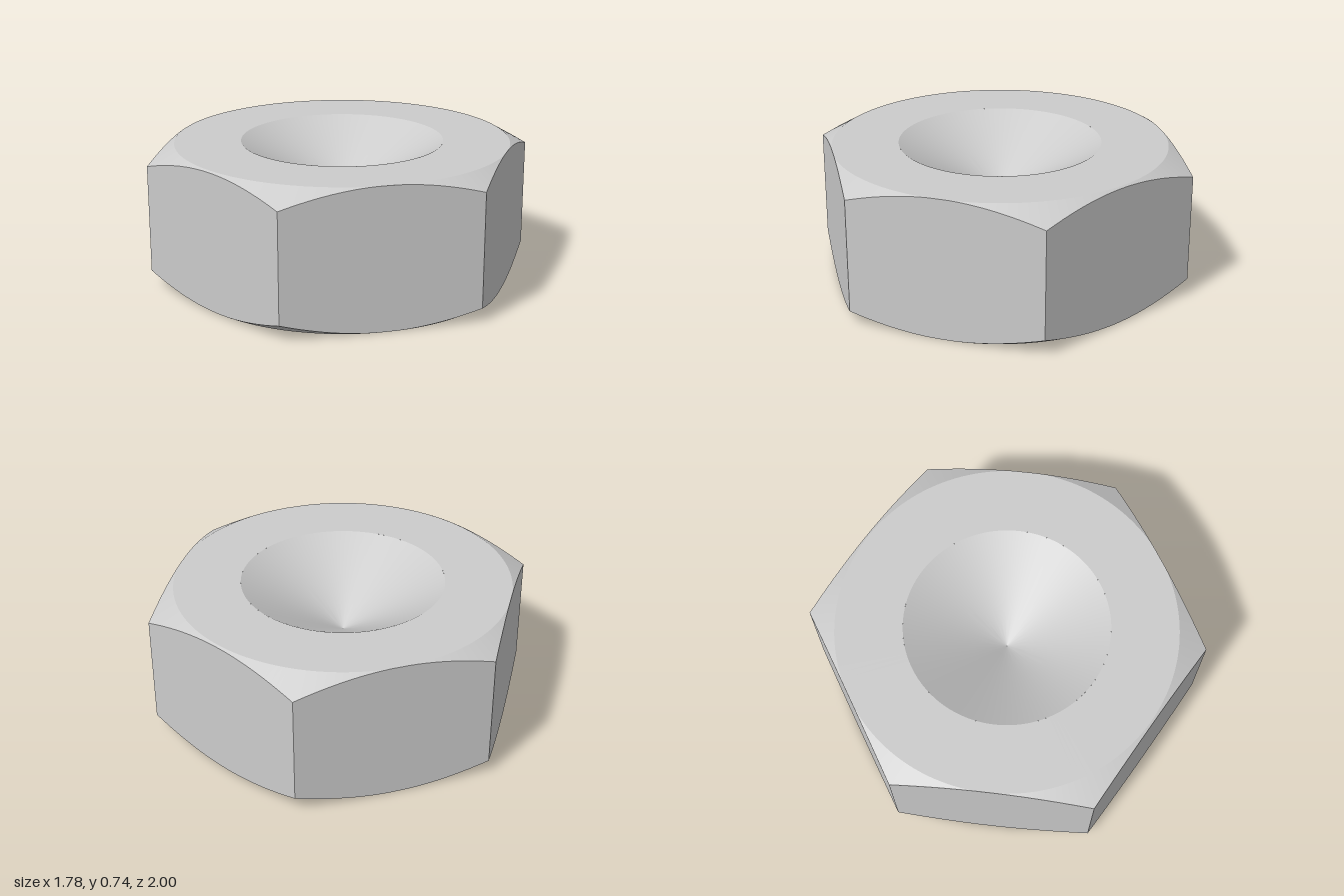
import * as THREE from 'three';
import { toCreasedNormals } from 'three/addons/utils/BufferGeometryUtils.js';

const H = 0.736;          // nut height
const RIM = 0.53;         // countersink rim radius
const FACE = 0.877;       // radius of the flat bearing faces
const SLOPE = 0.577;      // 30 degree chamfers
const MINOR = 0.40, MAJOR = 0.485, PITCH = 0.16;

// Surface swept around y: point(angle, row) gives [radius, height]
function sweep(angles, rows, point) {
  const pos = [], index = [];
  for (const a of angles)
    for (let j = 0; j < rows; j++) {
      const [r, y] = point(a, j);
      pos.push(r * Math.sin(a), y, r * Math.cos(a));
    }
  for (let i = 0; i < angles.length - 1; i++)
    for (let j = 0; j < rows - 1; j++) {
      const a = i * rows + j, b = a + rows;
      const ys = [a, b, a + 1, b + 1].map(k => pos[k * 3 + 1]);
      const rs = [a, a + 1].map(k => Math.hypot(pos[k * 3], pos[k * 3 + 2]));
      // skip collapsed quads
      if (Math.max(...ys) - Math.min(...ys) < 1e-6 && Math.abs(rs[0] - rs[1]) < 1e-6) continue;
      index.push(a, b, b + 1);
      if (rs[1] > 1e-6) index.push(a, b + 1, a + 1);
    }
  const g = new THREE.BufferGeometry();
  g.setAttribute('position', new THREE.Float32BufferAttribute(pos, 3));
  g.setIndex(index);
  return toCreasedNormals(g, 0.4);
}

export function createModel() {
  const group = new THREE.Group();
  const material = new THREE.MeshStandardMaterial({ color: 0xcccccc, side: THREE.DoubleSide });
  const add = (name, geometry) => {
    const mesh = new THREE.Mesh(geometry, material);
    mesh.name = name;
    group.add(mesh);
  };

  // Hexagon outline, sampled along each side so corners stay exact
  const corners = [[0, 1], [0.889, 0.51], [0.889, -0.51], [0, -1], [-0.889, -0.51], [-0.889, 0.51], [0, 1]];
  const angles = [], hex = new Map(), STEPS = 28;
  for (let s = 0; s < 6; s++)
    for (let k = 0; k < STEPS + (s === 5 ? 1 : 0); k++) {
      const t = k / STEPS, [x0, z0] = corners[s], [x1, z1] = corners[s + 1];
      const x = x0 + (x1 - x0) * t, z = z0 + (z1 - z0) * t;
      let a = Math.atan2(x, z);
      if (a < -1e-9 || (s === 5 && k === STEPS)) a += Math.PI * 2;
      angles.push(a);
      hex.set(a, Math.hypot(x, z));
    }

  // Hex body: bottom face, chamfer, flats, chamfer, top face
  add('hexBody', sweep(angles, 6, (a, j) => {
    const r = hex.get(a), flat = Math.min(FACE, r), drop = SLOPE * (r - flat);
    return [[RIM, 0], [flat, 0], [r, drop], [r, H - drop], [flat, H], [RIM, H]][j];
  }));

  const round = Array.from({ length: 129 }, (_, i) => i / 128 * Math.PI * 2);

  // Closed conical countersink in the top face
  add('topCountersink', sweep(round, 9, (a, j) => [RIM * (1 - j / 8), H - SLOPE * RIM * j / 8]));

  // Right-handed thread, running out into the bottom countersink
  const SUB = 16, TURNS = 6, rows = SUB * TURNS + 1;
  const threadRadius = s => {
    const depth = MAJOR - MINOR;
    if (s <= 4) return MINOR;
    if (s < 9) return MINOR + depth * (s - 4) / 5;
    if (s <= 11) return MAJOR;
    return MAJOR - depth * (s - 11) / 5;
  };
  add('threadedBore', sweep(round, rows, (a, j) => {
    const row = rows - 1 - j;
    const y = THREE.MathUtils.clamp(PITCH * (row / SUB - 1 + a / (2 * Math.PI)), 0, 0.71);
    // profile position follows the helix even where the height is clamped
    const s = ((y / PITCH - a / (2 * Math.PI)) * SUB % SUB + SUB) % SUB;
    const bottomCone = RIM - y / SLOPE;
    const topCone = RIM - (H - y) / SLOPE + 0.004;
    return [Math.max(threadRadius(s), bottomCone, topCone), y];
  }));

  return group;
}
